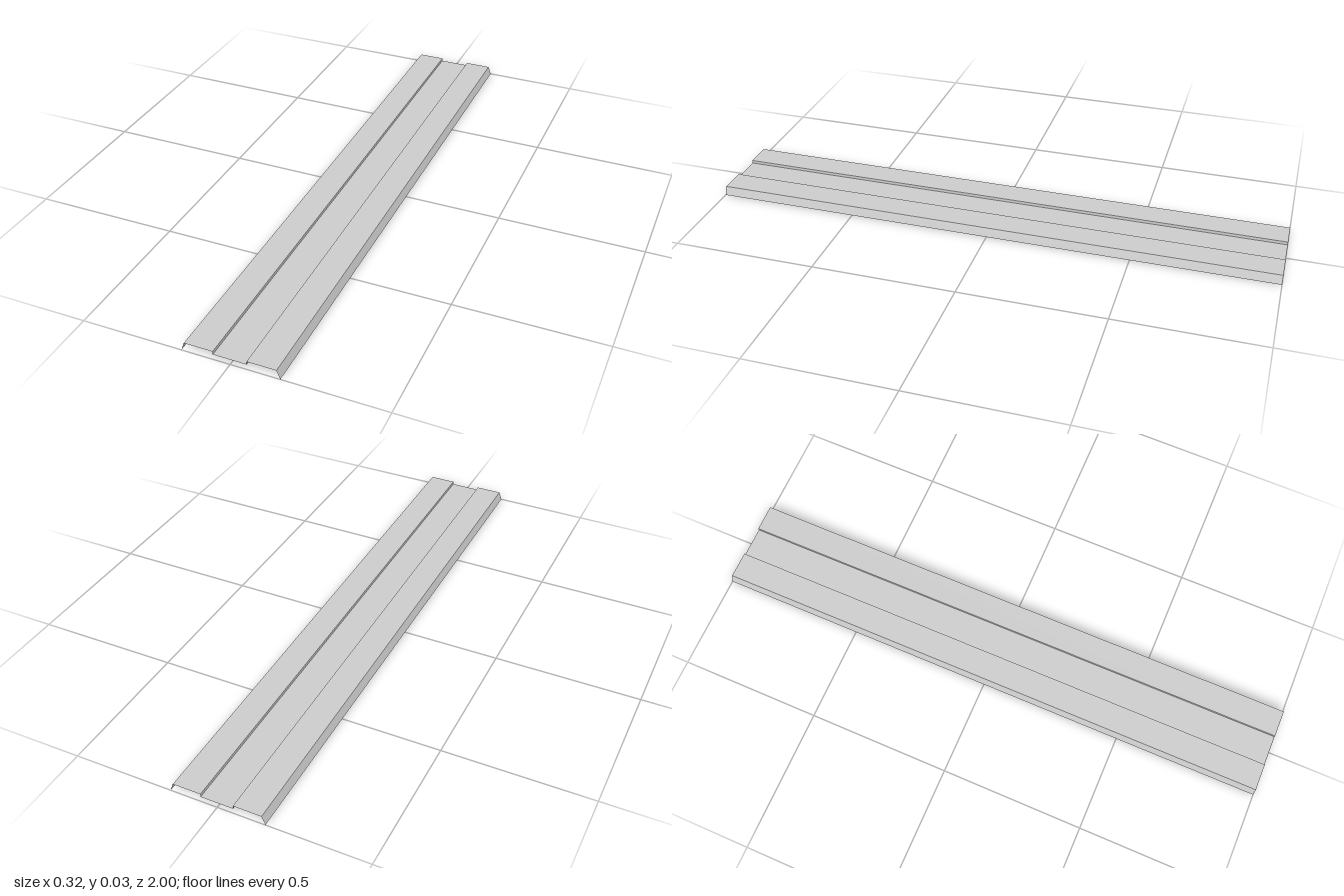
import * as THREE from 'three';

// One flat strip of sheet between two profile points, running the full length
function strip(name, [x0, y0], [x1, y1], material) {
  const geometry = new THREE.PlaneGeometry(Math.hypot(x1 - x0, y1 - y0), 2);
  geometry.rotateX(-Math.PI / 2);
  geometry.rotateZ(Math.atan2(y1 - y0, x1 - x0));
  geometry.translate((x0 + x1) / 2, (y0 + y1) / 2, 0);
  const mesh = new THREE.Mesh(geometry, material);
  mesh.name = name;
  return mesh;
}

export function createModel() {
  const group = new THREE.Group();
  group.name = 'foldedPanel';
  const material = new THREE.MeshStandardMaterial({
    color: 0xcccccc, flatShading: true, side: THREE.DoubleSide,
  });

  // Half profile from the outer lip to the recessed centre
  const half = [[0.161, 0], [0.15, 0.03], [0.055, 0.03], [0.055, 0.019]];
  const names = ['Flange', 'Panel', 'Step'];
  const mirror = ([x, y]) => [-x, y];

  names.forEach((name, i) => {
    group.add(strip('left' + name, half[i + 1], half[i], material));
    group.add(strip('right' + name, mirror(half[i]), mirror(half[i + 1]), material));
  });

  // Sunken centre channel
  group.add(strip('centreChannel', mirror(half[3]), half[3], material));
  return group;
}
